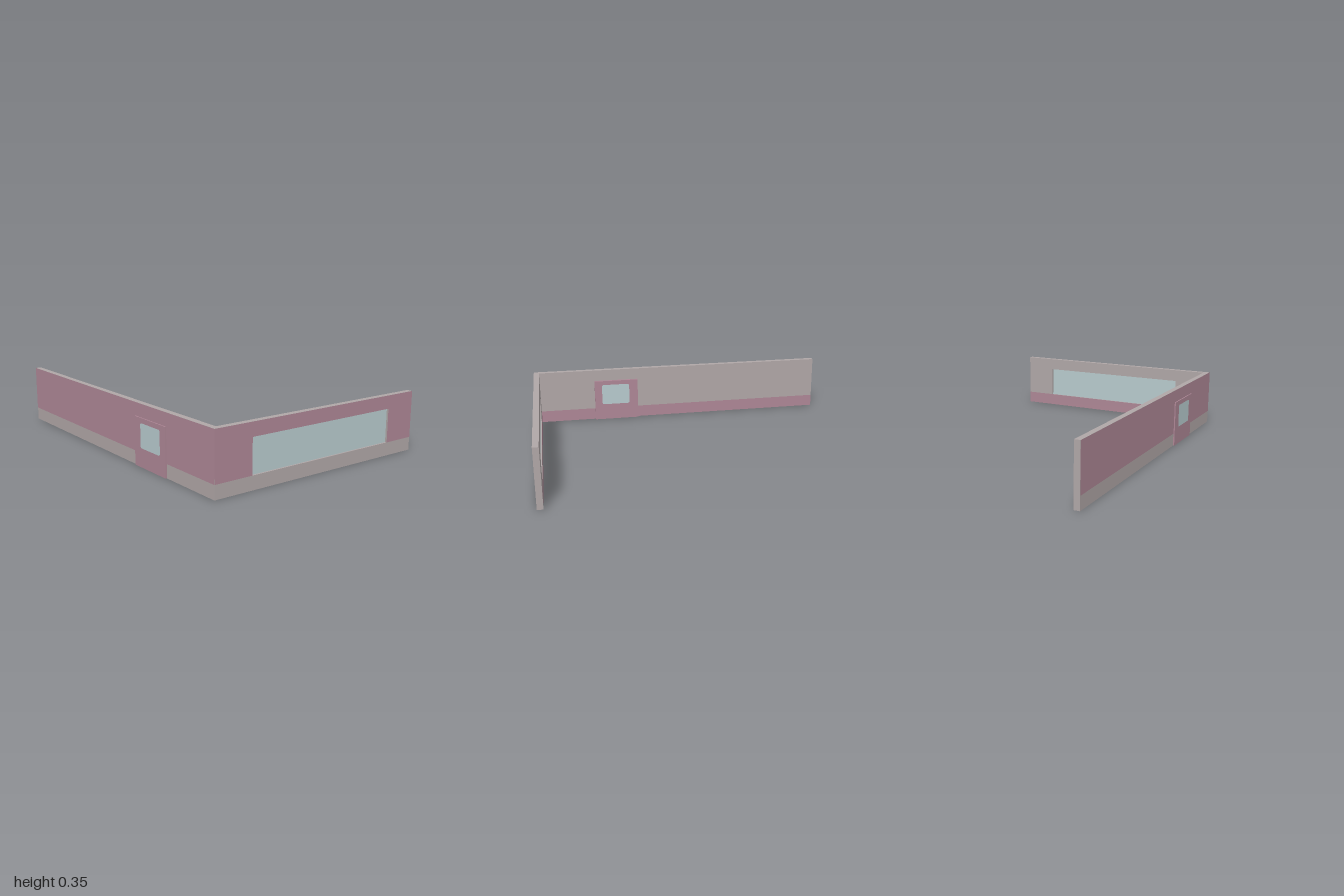
import * as THREE from 'three';

const H = 0.352, BAND = 0.078, T = 0.035;      // wall height, skirting line, thickness
const X0 = -0.712, X1 = 0.715;                 // front wall ends
const WIN = { x0: -0.48, x1: 0.515, y0: BAND, y1: 0.275 };
const PROUD = 0.001;                           // paint lift off the wall

const material = (name, color) => {
  const m = new THREE.MeshStandardMaterial({ color });
  m.name = name;
  return m;
};

const polygon = (points) => new THREE.Shape(points.map(([x, y]) => new THREE.Vector2(x, y)));
const rect = (x0, y0, x1, y1) => polygon([[x0, y0], [x1, y0], [x1, y1], [x0, y1]]);

function roundedRect(w, h, r) {
  const s = new THREE.Shape();
  s.absarc(w / 2 - r, h / 2 - r, r, 0, Math.PI / 2);
  s.absarc(-w / 2 + r, h / 2 - r, r, Math.PI / 2, Math.PI);
  s.absarc(-w / 2 + r, -h / 2 + r, r, Math.PI, Math.PI * 1.5);
  s.absarc(w / 2 - r, -h / 2 + r, r, Math.PI * 1.5, Math.PI * 2);
  return s;
}

export function createModel() {
  const grey = material('warm grey', 0xb0a7a7);
  const pink = material('dusty pink', 0xae8796);
  const glass = material('pale glass', 0xb8cbce);
  const model = new THREE.Group();
  model.name = 'cornerWalls';

  const add = (name, geometry, mat, x = 0, y = 0, z = 0, turn = 0) => {
    const mesh = new THREE.Mesh(geometry, mat);
    mesh.name = name;
    mesh.position.set(x, y, z);
    mesh.rotation.y = turn;
    model.add(mesh);
    return mesh;
  };

  // Front wall with its window opening
  const front = rect(X0 + T, 0, X1, H);
  front.holes.push(rect(WIN.x0, WIN.y0, WIN.x1, WIN.y1));
  add('frontWall', new THREE.ExtrudeGeometry(front, { depth: T, bevelEnabled: false }), grey, 0, 0, 1 - T);

  // Outer paint runs around the top and sides of the window
  const paint = polygon([
    [X0, BAND], [WIN.x0, BAND], [WIN.x0, WIN.y1], [WIN.x1, WIN.y1],
    [WIN.x1, BAND], [X1, BAND], [X1, H], [X0, H],
  ]);
  add('frontOuterPaint', new THREE.ShapeGeometry(paint), pink, 0, 0, 1 + PROUD);
  add('frontInnerBand', new THREE.ShapeGeometry(rect(-X1, 0, -X0 - T, BAND)), pink,
    0, 0, 1 - T - PROUD, Math.PI);

  // Large pane set into the middle of the wall
  add('frontWindow', new THREE.BoxGeometry(WIN.x1 - WIN.x0, WIN.y1 - WIN.y0, 0.014), glass,
    (WIN.x0 + WIN.x1) / 2, (WIN.y0 + WIN.y1) / 2, 1 - T / 2);

  // Long side wall
  add('sideWall', new THREE.BoxGeometry(T, H, 2), grey, X0 + T / 2, H / 2, 0);
  add('sideOuterPaint', new THREE.PlaneGeometry(2, H - BAND), pink,
    X0 - PROUD, (H + BAND) / 2, 0, -Math.PI / 2);
  add('sideInnerBand', new THREE.PlaneGeometry(2 - T, BAND), pink,
    X0 + T + PROUD, BAND / 2, -T / 2, Math.PI / 2);

  // Door, proud of both wall faces, with a small pane on each side
  const doorX = -0.69, doorT = 0.06;
  add('door', new THREE.BoxGeometry(doorT, 0.277, 0.3), pink, doorX, 0.1385, 0.443);
  for (const side of [-1, 1]) {
    add(side > 0 ? 'doorPaneInner' : 'doorPaneOuter',
      new THREE.ShapeGeometry(roundedRect(0.19, 0.14, 0.012), 4), glass,
      doorX + side * (doorT / 2 + PROUD), 0.179, 0.448, side * Math.PI / 2);
  }
  return model;
}
